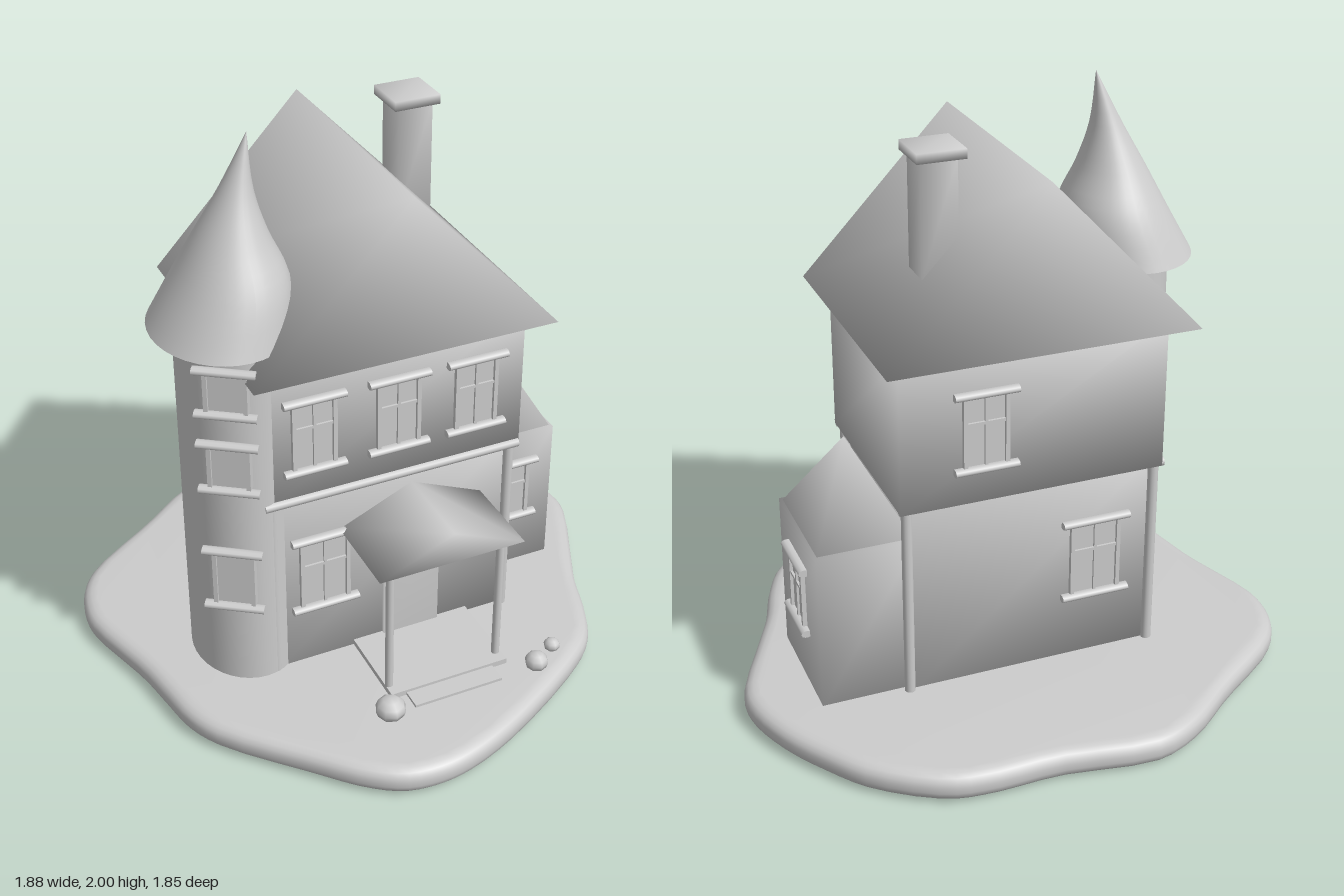
import * as THREE from 'three';
import { mergeVertices, toCreasedNormals } from 'three/addons/utils/BufferGeometryUtils.js';

const clay = new THREE.MeshStandardMaterial({ color: 0xcccccc });
clay.name = 'grey clay';

function add(parent, name, geometry, x = 0, y = 0, z = 0) {
  const mesh = new THREE.Mesh(geometry, clay);
  mesh.name = name;
  mesh.position.set(x, y, z);
  parent.add(mesh);
  return mesh;
}

// Weld corners so that the shading runs softly across the edges
function soften(geometry) {
  geometry.deleteAttribute('normal');
  geometry.deleteAttribute('uv');
  const welded = mergeVertices(geometry, 1e-4);
  welded.computeVertexNormals();
  return welded;
}

// Box given by its limits
function block(parent, name, [x0, x1], [y0, y1], [z0, z1], soft = false) {
  const g = new THREE.BoxGeometry(x1 - x0, y1 - y0, z1 - z0);
  return add(parent, name, soft ? soften(g) : g, (x0 + x1) / 2, (y0 + y1) / 2, (z0 + z1) / 2);
}

// Triangular roof with its ridge along z
function gable(parent, name, [x0, x1], apexX, [y0, y1], [z0, z1]) {
  const shape = new THREE.Shape([[x0, y0], [x1, y0], [apexX, y1]].map(p => new THREE.Vector2(...p)));
  const g = new THREE.ExtrudeGeometry(shape, { depth: z1 - z0, bevelEnabled: false });
  return add(parent, name, soften(g), 0, 0, z0);
}

// Round bar along x
function bar(parent, name, length, radius, x, y, z) {
  const g = new THREE.CylinderGeometry(radius, radius, length, 10).rotateZ(Math.PI / 2);
  return add(parent, name, g, x, y, z);
}

function post(parent, name, radius, x, y0, y1, z) {
  return add(parent, name, new THREE.CylinderGeometry(radius, radius, y1 - y0, 12), x, (y0 + y1) / 2, z);
}

// Framed window facing +z before turning, placed by the middle of its opening
function windowUnit(parent, x, y, z, turn, w = 0.155, h = 0.245, cross = true) {
  const g = new THREE.Group();
  g.name = 'window';
  const a = w / 2, b = h / 2, f = 0.014;
  block(g, 'pane', [-a, a], [-b, b], [-0.02, 0.004]);
  for (const s of [-1, 1]) {
    const c = s * (a - f / 2);
    block(g, 'frameSide', [c - f / 2, c + f / 2], [-b, b], [-0.02, 0.015]);
    const sill = bar(g, s < 0 ? 'sill' : 'lintel', w + 0.06, 0.013, 0, s * (b + 0.008), 0.01);
    sill.scale.z = 1.5;
  }
  if (cross) {
    block(g, 'mullion', [-0.005, 0.005], [-b, b], [-0.01, 0.012]);
    block(g, 'crossbar', [-a, a], [b * 0.2, b * 0.2 + 0.01], [-0.01, 0.012]);
  }
  g.position.set(x, y, z);
  g.rotation.y = turn;
  parent.add(g);
}

function island() {
  const outline = [
    [-0.23, -0.93], [0.1, -0.885], [0.33, -0.885], [0.47, -0.86], [0.68, -0.72], [0.79, -0.58],
    [0.88, -0.43], [0.935, -0.27], [0.935, -0.16], [0.82, 0.1], [0.75, 0.25], [0.7, 0.4],
    [0.63, 0.54], [0.52, 0.635], [0.18, 0.83], [-0.02, 0.905], [-0.14, 0.92], [-0.26, 0.9],
    [-0.37, 0.83], [-0.5, 0.7], [-0.73, 0.455], [-0.79, 0.34], [-0.82, 0.2], [-0.85, 0.05],
    [-0.935, -0.23], [-0.94, -0.32], [-0.91, -0.44], [-0.84, -0.54], [-0.575, -0.73], [-0.39, -0.87],
  ].map(([x, z]) => new THREE.Vector3(x, -z, 0));
  const points = new THREE.CatmullRomCurve3(outline, true).getPoints(96).slice(0, -1);
  const shape = new THREE.Shape(points.map(p => new THREE.Vector2(p.x, p.y)));
  const g = new THREE.ExtrudeGeometry(shape, {
    depth: 0.02, bevelThickness: 0.04, bevelSize: 0.05, bevelOffset: -0.05, bevelSegments: 4,
  });
  g.rotateX(-Math.PI / 2).translate(0, 0.04, 0);
  return toCreasedNormals(g, 0.6);
}

// Pointed cap whose axis leans towards the house: x = centre, y = height, z = radius
function towerCap() {
  const spine = new THREE.CatmullRomCurve3([
    [-0.515, 1.38, 0.225], [-0.472, 1.54, 0.178], [-0.463, 1.68, 0.112],
    [-0.443, 1.82, 0.053], [-0.402, 2.0, 0],
  ].map(p => new THREE.Vector3(...p)));
  const g = new THREE.CylinderGeometry(1, 1, 1, 36, 16);
  const pos = g.attributes.position;
  for (let i = 0; i < pos.count; i++) {
    const s = spine.getPoint(THREE.MathUtils.clamp(pos.getY(i) + 0.5, 0, 1));
    pos.setXYZ(i, s.x + pos.getX(i) * s.z, s.y, 0.065 + pos.getZ(i) * s.z * 1.2);
  }
  g.computeVertexNormals();
  return g;
}

export function createModel() {
  const model = new THREE.Group();
  model.name = 'house';
  add(model, 'ground', island());

  // Two storeys, the upper one overhanging, and the main roof
  block(model, 'lowerStorey', [-0.43, 0.41], [0.09, 0.79], [-0.375, 0.262], true);
  block(model, 'upperStorey', [-0.455, 0.455], [0.785, 1.31], [-0.415, 0.28], true);
  gable(model, 'mainRoof', [-0.53, 0.515], -0.008, [1.3, 1.85], [-0.5, 0.385]);

  // Corner posts and the beams they carry
  for (const z of [0.265, -0.38]) {
    for (const x of [-0.44, 0.425]) post(model, 'cornerPost', 0.018, x, 0.09, 0.8, z);
    bar(model, 'beam', 0.92, 0.017, -0.008, 0.79, z + Math.sign(z) * 0.012);
  }

  // Chimney
  block(model, 'chimney', [0.2, 0.32], [1.5, 1.885], [-0.27, -0.15], true);
  block(model, 'chimneyCap', [0.178, 0.338], [1.88, 1.912], [-0.29, -0.13], true);

  // Round tower
  const tower = post(model, 'tower', 1, -0.48, 0.09, 1.39, 0.068);
  tower.geometry = new THREE.CylinderGeometry(1, 1, 1.3, 36);
  tower.scale.set(0.18, 1, 0.22);
  add(model, 'towerRoof', towerCap());
  for (const [y, h] of [[0.535, 0.205], [0.975, 0.155], [1.25, 0.14]]) {
    windowUnit(model, -0.575, y, 0.263, -0.6, 0.14, h, false);
  }

  // Side bay
  block(model, 'bay', [0.38, 0.72], [0.09, 0.652], [-0.36, 0.07], true);
  const bayRoof = new THREE.ConeGeometry(Math.SQRT1_2, 1, 4, 1).rotateY(Math.PI / 4);
  bayRoof.scale(0.33, 0.31, 0.405);
  add(model, 'bayRoof', soften(bayRoof), 0.55, 0.80, -0.142);
  windowUnit(model, 0.55, 0.425, 0.07, 0, 0.15, 0.215);
  windowUnit(model, 0.72, 0.425, -0.14, Math.PI / 2, 0.15, 0.215);

  // Front and back windows
  for (const x of [-0.295, 0, 0.28]) windowUnit(model, x, 1.037, 0.28, 0);
  windowUnit(model, -0.257, 0.47, 0.262, 0, 0.18, 0.265);
  windowUnit(model, 0.17, 1.037, -0.415, Math.PI);
  windowUnit(model, -0.235, 0.47, -0.375, Math.PI, 0.18, 0.265);

  // Porch, steps and door
  gable(model, 'porchRoof', [-0.2, 0.325], 0.063, [0.615, 0.73], [0.25, 0.577]);
  for (const x of [-0.137, 0.267]) post(model, 'porchPost', 0.014, x, 0.1, 0.62, 0.52);
  block(model, 'porchFloor', [-0.15, 0.285], [0.09, 0.12], [0.25, 0.57]);
  block(model, 'step', [-0.095, 0.23], [0.09, 0.11], [0.57, 0.64]);
  block(model, 'door', [-0.04, 0.167], [0.115, 0.51], [0.25, 0.275], true);

  // Rounded stones by the path
  for (const [x, z, r, h] of [[-0.19, 0.645, 0.053, 0.042], [0.365, 0.635, 0.041, 0.035], [0.462, 0.572, 0.029, 0.024]]) {
    const stone = add(model, 'stone', new THREE.SphereGeometry(1, 8, 6), x, 0.098 + h, z);
    stone.scale.set(r, h, r);
  }
  return model;
}
